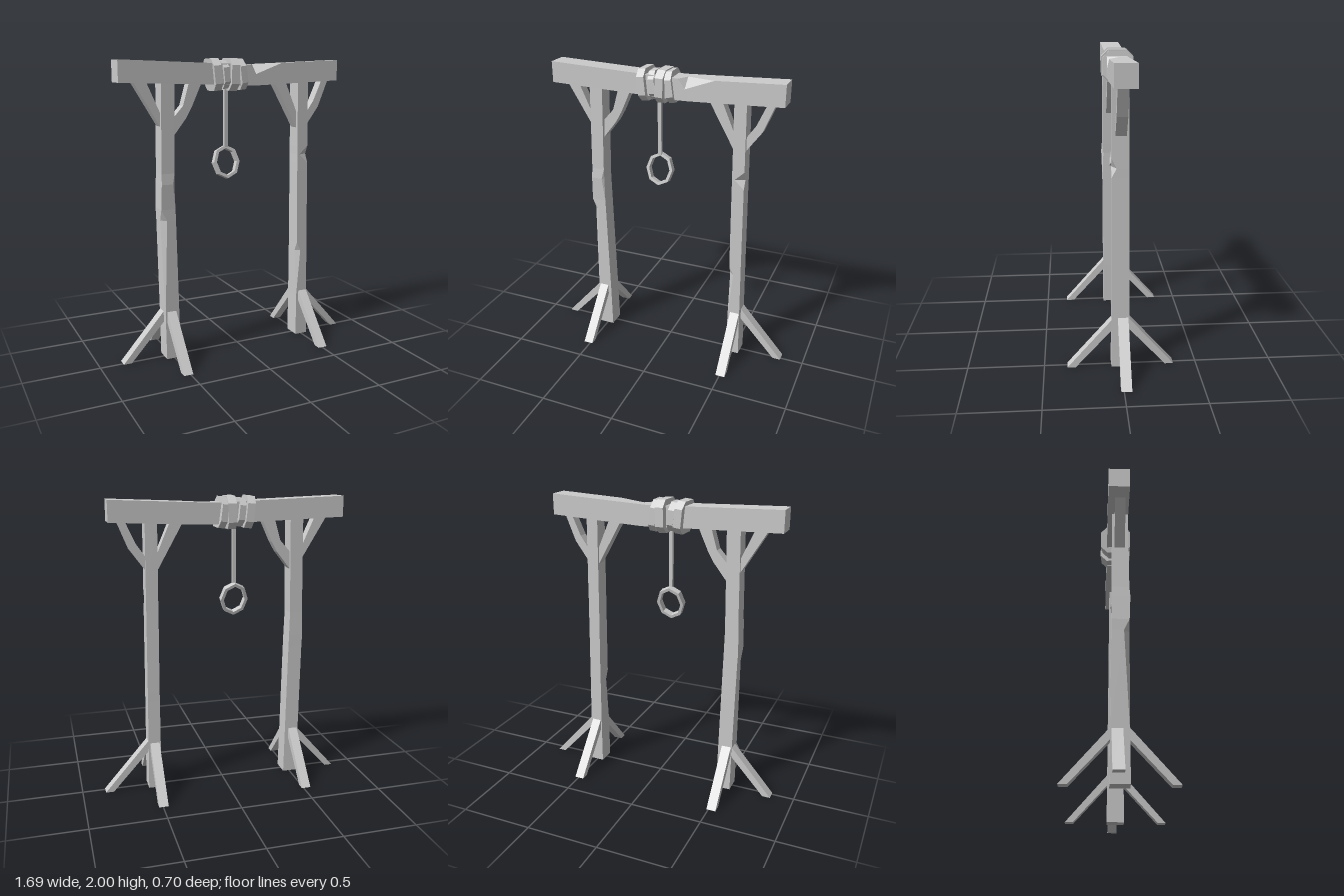
import * as THREE from 'three';

const material = new THREE.MeshStandardMaterial({ color: 0xcccccc, flatShading: true, side: THREE.DoubleSide });

function add(parent, name, geometry) {
  const mesh = new THREE.Mesh(geometry, material);
  mesh.name = name;
  parent.add(mesh);
  return mesh;
}

// Section of a timber: rectangle u0..u1, v0..v1; a chip cuts one corner by p and q along its two edges.
function section(at, [u0, u1, v0, v1], chips = {}) {
  const corners = [[u0, v0], [u1, v0], [u1, v1], [u0, v1]];
  const points = [];
  corners.forEach((c, i) => {
    const [p, q] = chips[i] || [0, 0];
    [[corners[(i + 3) % 4], p], [corners[(i + 1) % 4], q]].forEach(([n, d]) => {
      const t = d / Math.hypot(n[0] - c[0], n[1] - c[1]);
      points.push([c[0] + (n[0] - c[0]) * t, c[1] + (n[1] - c[1]) * t]);
    });
  });
  return { at, points };
}

// Joins sections into a closed timber; place() maps (along, u, v) to x, y, z.
function timber(sections, place) {
  const out = [];
  const rings = sections.map(s => s.points.map(([u, v]) => place(s.at, u, v)));
  const tri = (a, b, c) => out.push(...a, ...b, ...c);
  for (let k = 0; k + 1 < rings.length; k++) {
    const a = rings[k], b = rings[k + 1];
    for (let j = 0; j < 8; j++) {
      const n = (j + 1) % 8;
      tri(a[j], a[n], b[n]);
      tri(a[j], b[n], b[j]);
    }
  }
  const first = rings[0], last = rings[rings.length - 1];
  for (let j = 1; j < 7; j++) {
    tri(first[0], first[j + 1], first[j]);
    tri(last[0], last[j], last[j + 1]);
  }
  const g = new THREE.BufferGeometry();
  g.setAttribute('position', new THREE.Float32BufferAttribute(out, 3));
  g.computeVertexNormals();
  return g;
}

// Flat outline in x, y given a thickness from z0 to z1.
function slab(points, z0, z1, hole) {
  const shape = new THREE.Shape(points.map(p => new THREE.Vector2(...p)));
  if (hole) shape.holes.push(new THREE.Path(hole.map(p => new THREE.Vector2(...p))));
  return new THREE.ExtrudeGeometry(shape, { depth: z1 - z0, bevelEnabled: false }).translate(0, 0, z0);
}

function oval(rx, ry) {
  return Array.from({ length: 8 }, (_, i) => [rx * Math.cos(i * Math.PI / 4), ry * Math.sin(i * Math.PI / 4)]);
}

export function createModel() {
  const model = new THREE.Group();

  // Sagging crossbeam with a chipped top front edge
  const alongX = (x, y, z) => [x, y, z];
  add(model, 'crossbeam', timber([
    section(-0.83, [1.85, 1.99, -0.08, 0.057]),
    section(-0.15, [1.83, 1.967, -0.08, 0.057]),
    section(0.07, [1.822, 1.96, -0.08, 0.057]),
    section(0.115, [1.822, 1.962, -0.08, 0.057], { 2: [0.065, 0.065] }),
    section(0.31, [1.83, 1.97, -0.08, 0.057]),
    section(0.755, [1.85, 1.99, -0.08, 0.057]),
  ], alongX));

  // Posts, with splintered corners
  const alongY = (y, z, x) => [x, y, z];
  add(model, 'rightPost', timber([
    section(0, [-0.06, 0.06, -0.555, -0.455]),
    section(0.3, [-0.058, 0.058, -0.558, -0.46]),
    section(0.96, [-0.053, 0.06, -0.57, -0.473], { 1: [0.035, 0.035] }),
    section(1.035, [-0.053, 0.06, -0.573, -0.475]),
    section(1.2, [-0.052, 0.066, -0.568, -0.478], { 2: [0.015, 0.012] }),
    section(1.27, [-0.052, 0.06, -0.565, -0.476]),
    section(1.86, [-0.05, 0.055, -0.555, -0.465]),
  ], alongY));
  add(model, 'leftPost', timber([
    section(0, [-0.06, 0.06, 0.455, 0.545]),
    section(0.3, [-0.058, 0.058, 0.455, 0.54]),
    section(0.64, [-0.056, 0.058, 0.453, 0.535], { 1: [0.03, 0.03] }),
    section(0.7, [-0.056, 0.058, 0.453, 0.534]),
    section(1.28, [-0.052, 0.056, 0.446, 0.527]),
    section(1.34, [-0.052, 0.056, 0.446, 0.527], { 2: [0.065, 0.03] }),
    section(1.4, [-0.052, 0.056, 0.445, 0.526]),
    section(1.86, [-0.05, 0.055, 0.44, 0.52]),
  ], alongY));

  // Slanted ground struts: outward, front and back of each post
  const strut = [[0, 0.35], [0, 0.275], [0.25, 0], [0.305, 0]];
  for (const [side, label] of [[-1, 'right'], [1, 'left']]) {
    const outer = add(model, label + 'OuterStrut',
      slab(strut.map(([d, y]) => [side * (0.54 + d), y]), -0.05, 0.018));
    outer.name = label + 'OuterStrut';
    for (const dir of [1, -1]) {
      const g = slab(strut, -0.032, 0.032).rotateY(-dir * Math.PI / 2);
      const x = side < 0 ? -0.515 - 0.002 * (1 - dir) : 0.505 - 0.005 * (1 - dir);
      add(model, label + (dir > 0 ? 'Front' : 'Back') + 'Strut', g.translate(x, 0, dir * 0.045));
    }
  }

  // Knee braces under the beam, two of them crooked
  const braces = {
    rightOuterBrace: [[-0.73, 1.855], [-0.645, 1.855], [-0.54, 1.62], [-0.54, 1.54]],
    rightInnerBrace: [[-0.265, 1.855], [-0.355, 1.855], [-0.4, 1.7], [-0.49, 1.6], [-0.49, 1.48], [-0.38, 1.62], [-0.34, 1.69]],
    leftInnerBrace: [[0.26, 1.855], [0.35, 1.855], [0.46, 1.6], [0.46, 1.5]],
    leftOuterBrace: [[0.695, 1.855], [0.645, 1.855], [0.58, 1.71], [0.51, 1.61], [0.51, 1.52], [0.62, 1.67]],
  };
  for (const [name, points] of Object.entries(braces)) add(model, name, slab(points, -0.035, 0.033));

  // Rope wound around the beam: x, width, half height, tilt
  const wraps = [[-0.168, 0.052, 0.104, 0.1], [-0.108, 0.042, 0.092, 0.11], [-0.045, 0.056, 0.106, -0.03], [0.012, 0.045, 0.1, 0.13]];
  wraps.forEach(([x, w, h, tilt], i) => {
    const c = h - 0.045;
    const octagon = [[h, c], [c, h], [-c, h], [-h, c], [-h, -c], [-c, -h], [c, -h], [h, -c]];
    const wrap = add(model, 'ropeWrap' + (i + 1), slab(octagon, -w / 2, w / 2).rotateY(Math.PI / 2));
    wrap.position.set(x, 1.895, -0.017);
    wrap.rotation.set(0, (i % 2 ? 1 : -1) * 0.04, tilt);
  });

  // Hanging rope and its loop
  add(model, 'hangingRope', new THREE.BoxGeometry(0.024, 0.44, 0.024).translate(-0.08, 1.635, -0.01));
  const loop = add(model, 'ropeLoop', slab(oval(0.095, 0.113), -0.022, 0.022, oval(0.074, 0.092)));
  loop.position.set(-0.08, 1.313, -0.01);
  loop.rotation.x = -0.2;

  return model;
}
